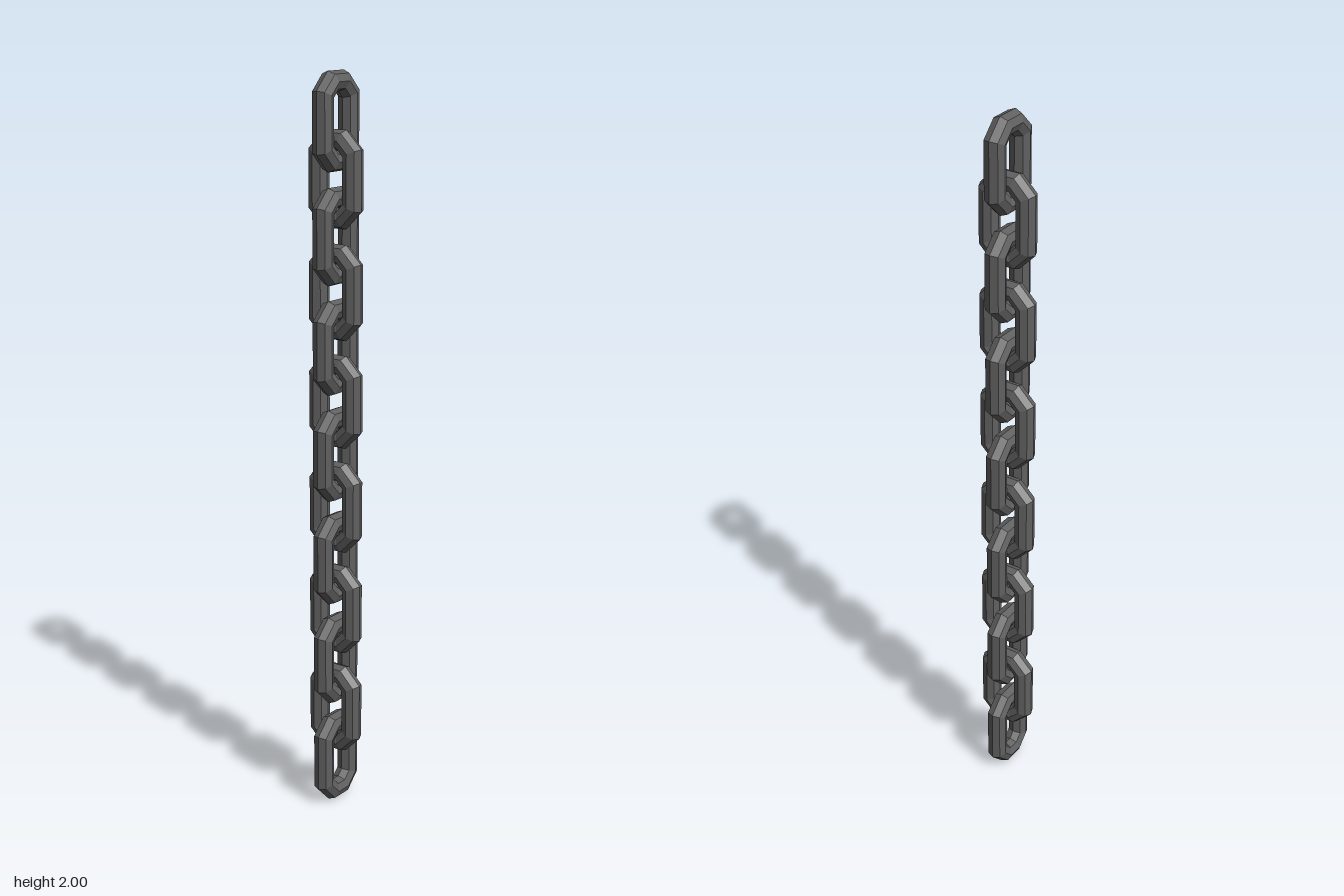
import * as THREE from 'three';

const LINKS = 13;
const LENGTH = 0.252;                        // full length of one link
const HALF_WIDTH = 0.0805;
const WIRE = 0.0286;                         // radius of the eight-sided bar
const PITCH = (2 - LENGTH) / (LINKS - 1);

// An eight-sided ring, flat side up, pulled apart into a long link
function linkGeometry() {
  const ring = HALF_WIDTH / Math.cos(Math.PI / 8) - WIRE;
  const geo = new THREE.TorusGeometry(ring, WIRE, 8, 8);
  geo.rotateZ(Math.PI / 8);
  const stretch = LENGTH / 2 - HALF_WIDTH;
  const pos = geo.attributes.position;
  for (let i = 0; i < pos.count; i++) {
    pos.setY(i, pos.getY(i) + Math.sign(pos.getY(i)) * stretch);
  }
  geo.computeVertexNormals();
  return geo;
}

export function createModel() {
  const chain = new THREE.Group();
  chain.name = 'chain';
  const steel = new THREE.MeshStandardMaterial({ color: 0x606060, flatShading: true });
  const geo = linkGeometry();

  // Links alternate by a quarter turn, from the bottom up
  for (let i = 0; i < LINKS; i++) {
    const link = new THREE.Mesh(geo, steel);
    link.name = `link${i + 1}`;
    link.position.y = LENGTH / 2 + i * PITCH;
    link.rotation.y = i % 2 === 0 ? Math.PI / 2 : 0;
    chain.add(link);
  }
  return chain;
}
